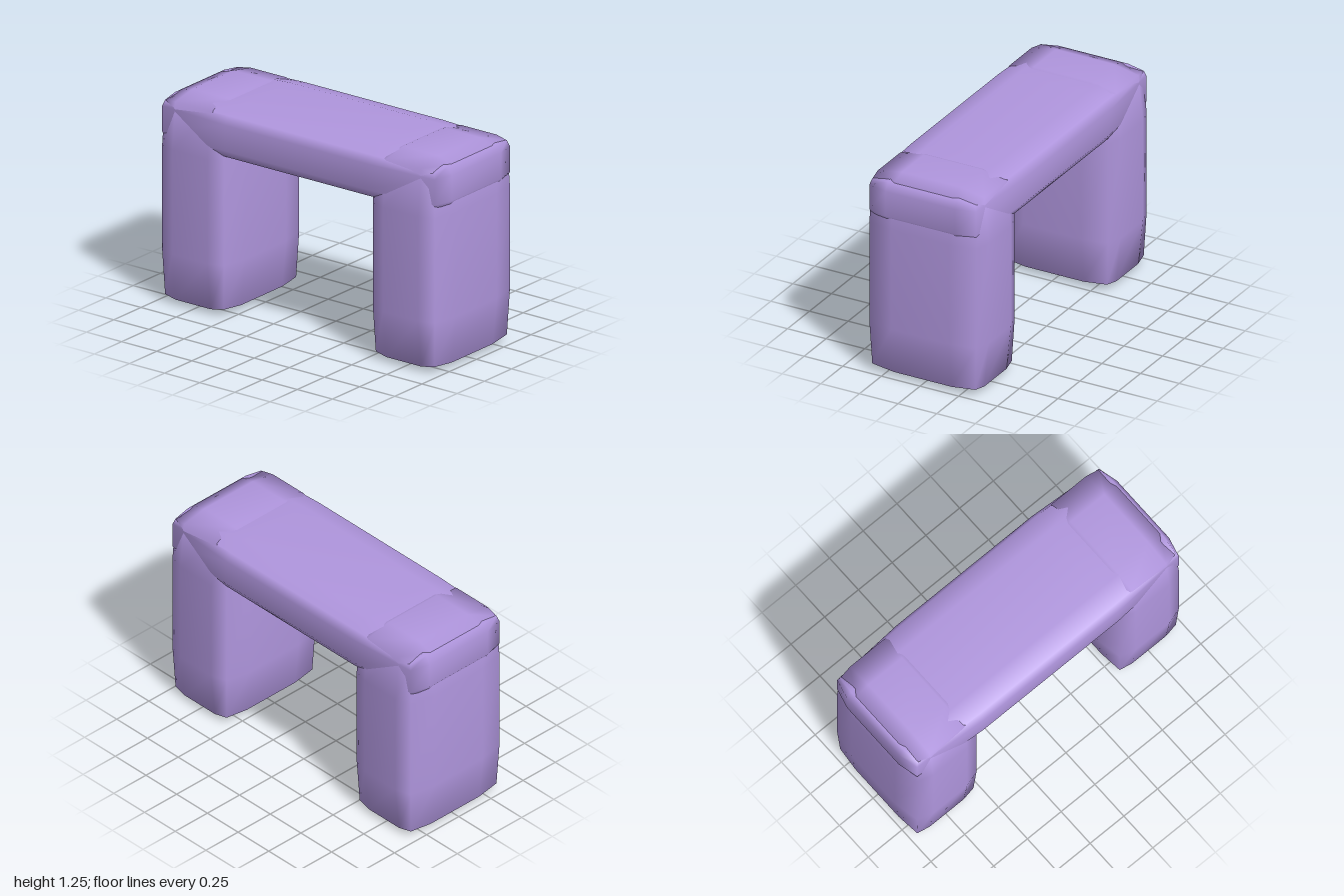
import * as THREE from 'three';
import { mergeVertices } from 'three/addons/utils/BufferGeometryUtils.js';

const lavender = new THREE.MeshStandardMaterial({ color: 0xb096de });
lavender.name = 'lavender';

// Pillowy block: each face is flat up to `inset` from its ends, then eases in
// towards softened edges and slightly tighter corners.
function softBlock(name, size, inset, centre) {
  const geo = new THREE.BoxGeometry(1, 1, 1, 3, 3, 3);
  geo.deleteAttribute('normal');
  geo.deleteAttribute('uv');
  const soft = mergeVertices(geo, 1e-4);
  const pos = soft.attributes.position;
  for (let i = 0; i < pos.count; i++) {
    const p = [pos.getX(i), pos.getY(i), pos.getZ(i)];
    const extremes = p.filter((v) => Math.abs(v) > 0.4).length;
    const pull = [0, 0, 0.03, 0.042][extremes];
    const q = p.map((v, k) => {
      const half = size[k] / 2;
      return Math.sign(v) * (Math.abs(v) > 0.4 ? half - pull : half - inset[k]);
    });
    pos.setXYZ(i, ...q);
  }
  soft.computeVertexNormals();
  const mesh = new THREE.Mesh(soft, lavender);
  mesh.name = name;
  mesh.position.set(...centre);
  return mesh;
}

export function createModel() {
  const model = new THREE.Group();
  model.name = 'stoneArch';

  // Two upright legs
  for (const side of [-1, 1]) {
    model.add(softBlock(side > 0 ? 'leftLeg' : 'rightLeg',
      [0.5, 1.249, 0.75], [0.125, 0.312, 0.1875], [side * 0.75, 0.6245, 0]));
  }

  // Lintel resting across the legs
  model.add(softBlock('lintel', [2, 0.31, 0.75], [0.5, 0.078, 0.15], [0, 1.095, 0]));
  return model;
}
